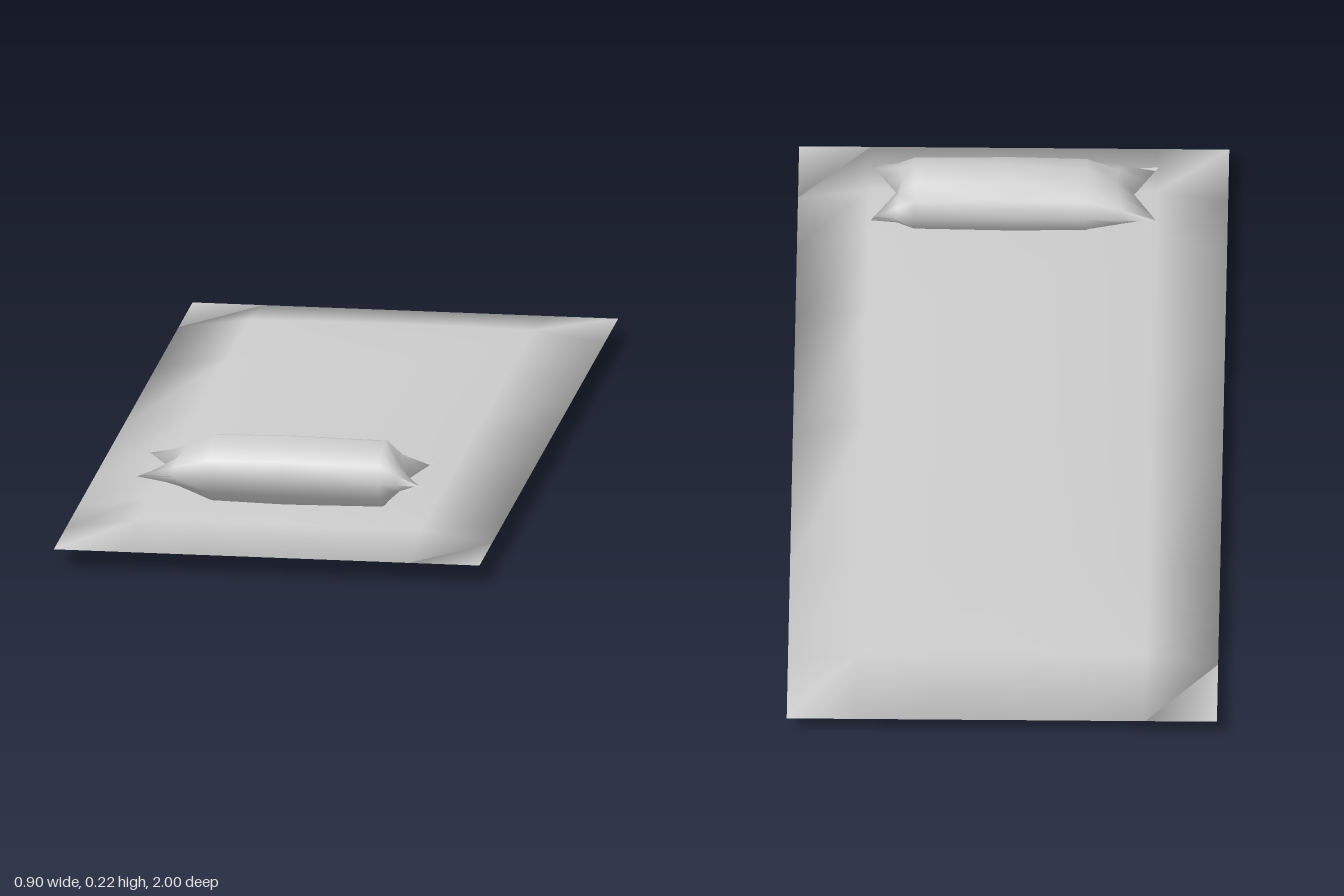
import * as THREE from 'three';
import { mergeVertices } from 'three/addons/utils/BufferGeometryUtils.js';

// Skin closed rings of points (counter-clockwise seen from the last ring), with smooth normals
function loft(name, rings) {
  const n = rings[0].length, index = [];
  for (let i = 0; i < rings.length - 1; i++) {
    for (let j = 0; j < n; j++) {
      const a = i * n + j, b = i * n + (j + 1) % n;
      index.push(a, b, b + n, a, b + n, a + n);
    }
  }
  let geometry = new THREE.BufferGeometry();
  geometry.setAttribute('position', new THREE.Float32BufferAttribute(rings.flat(2), 3));
  geometry.setIndex(index);
  geometry = mergeVertices(geometry, 1e-4);
  geometry.computeVertexNormals();
  const mesh = new THREE.Mesh(geometry, new THREE.MeshStandardMaterial({ color: 0xcccccc, side: THREE.DoubleSide }));
  mesh.name = name;
  return mesh;
}

// Thin padded mattress: a rectangle that swells inward from a sharp seam
function createMattress() {
  const across = [[0.45, 0], [0.3, 0.023], [0.15, 0.037], [0, 0.04], [-0.15, 0.037], [-0.3, 0.023], [-0.45, 0]];
  const along = [[-1, 0], [-0.8, 0.025], [-0.48, 0.038], [0, 0.04], [0.4, 0.04], [0.65, 0.038], [0.82, 0.023], [1, 0]];
  const seamY = 0.043;
  const rings = along.map(([z, hz]) => {
    const point = (side) => ([x, hx]) => [x, seamY + side * Math.min(hx, hz), z];
    return [...across.map(point(1)), ...across.slice(1, -1).reverse().map(point(-1))];
  });
  return loft('mattress', rings);
}

// Round bolster whose ends flatten into seams with pulled-out corners
function createPillow() {
  const sides = 12, y0 = 0.151, z0 = 0.695;
  // x, half height, half depth, inward dip in the middle of the ring
  const sections = [
    [-0.305, 0, 0.096, 0.05],
    [-0.23, 0.036, 0.09, 0.012],
    [-0.155, 0.069, 0.088, 0],
    [0, 0.073, 0.087, 0],
    [0.205, 0.069, 0.088, 0],
    [0.242, 0.036, 0.091, -0.012],
    [0.295, 0, 0.096, -0.052],
  ];
  const rings = sections.map(([x, height, depth, dip]) =>
    Array.from({ length: sides }, (_, k) => {
      const t = (k / sides) * Math.PI * 2;
      return [x + dip * (1 - Math.abs(Math.sin(t))), y0 + height * Math.cos(t), z0 + depth * Math.sin(t)];
    }));
  return loft('pillow', rings);
}

export function createModel() {
  const model = new THREE.Group();
  model.name = 'beddingSet';
  model.add(createMattress(), createPillow());
  return model;
}
